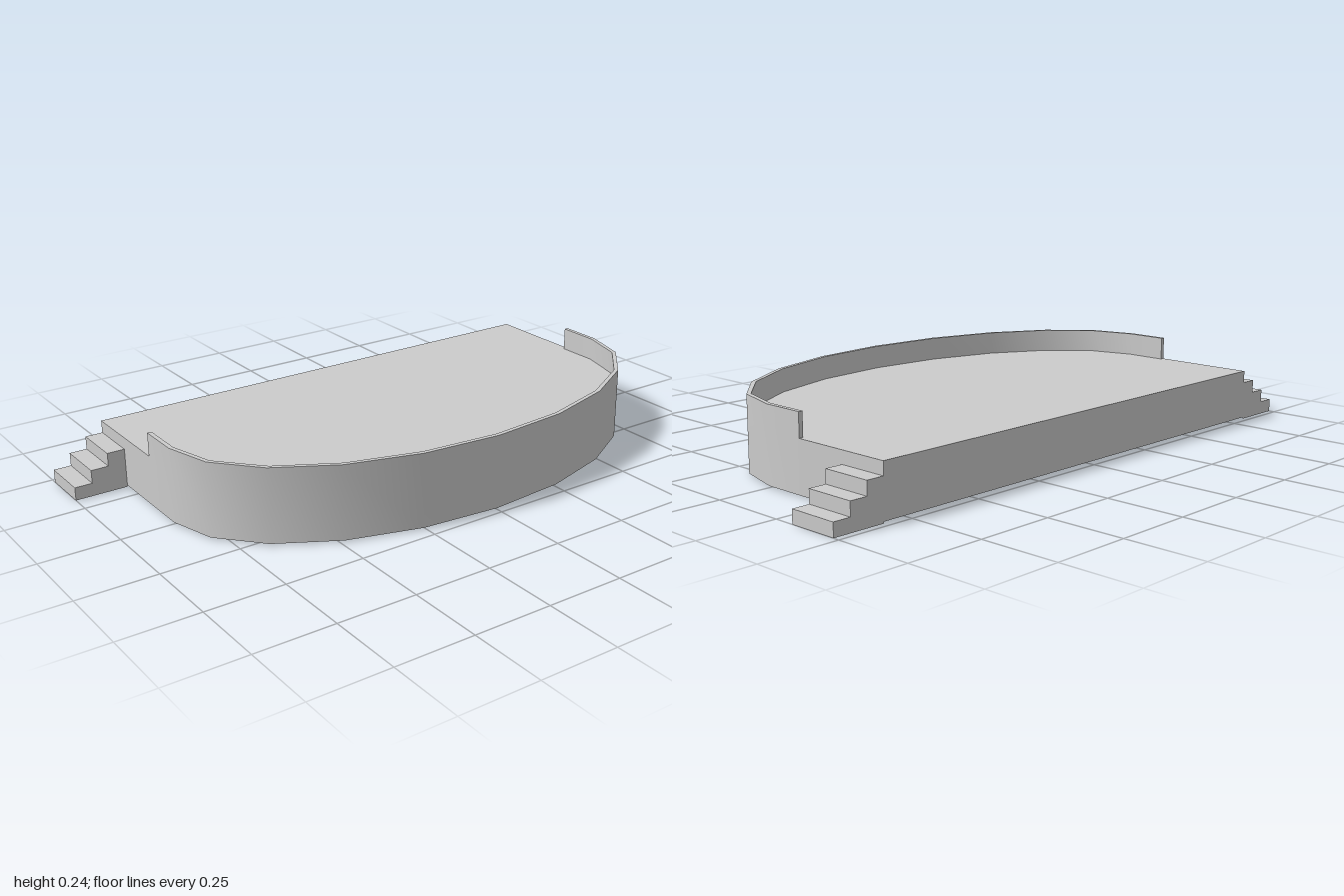
import * as THREE from 'three';
import { toCreasedNormals } from 'three/addons/utils/BufferGeometryUtils.js';

const A = 0.83, B = 0.48;          // half width and front depth of the stage
const BACK = -0.48, RIM_END = -0.14;
const BASE = 0.005, DECK = 0.167, RIM = 0.242, WALL = 0.014;

const solid = new THREE.MeshStandardMaterial({ color: 0xcccccc });
const sheet = new THREE.MeshStandardMaterial({ color: 0xcccccc, side: THREE.DoubleSide });

function part(name, geometry, material) {
  const mesh = new THREE.Mesh(geometry, material);
  mesh.name = name;
  return mesh;
}

// Half-ellipse in plan (x, z) with straight sides running back to zBack
function outline(a, b, zBack) {
  const pts = [new THREE.Vector2(a, zBack)];
  for (let i = 0; i <= 10; i++) {
    const t = (i * Math.PI) / 10;
    pts.push(new THREE.Vector2(a * Math.cos(t), b * Math.sin(t)));
  }
  pts.push(new THREE.Vector2(-a, zBack));
  return pts;
}

// Open folded sheet: a path swept along one offset
function foldedSheet(path, offset) {
  const o = new THREE.Vector3(...offset);
  const pts = [];
  for (let i = 0; i < path.length - 1; i++) {
    const a = new THREE.Vector3(...path[i]);
    const b = new THREE.Vector3(...path[i + 1]);
    const c = b.clone().add(o), d = a.clone().add(o);
    pts.push(a, b, c, a, c, d);
  }
  const geometry = new THREE.BufferGeometry().setFromPoints(pts);
  geometry.computeVertexNormals();
  return geometry;
}

// Three steps, open underneath
function createStairs(name) {
  const stairs = new THREE.Group();
  stairs.name = name;
  const run = (1 - A) / 3, rise = 0.0423, zFront = -0.317;
  const profile = [[A, 3 * rise]];
  for (let i = 0; i < 3; i++) {
    const x = A + (i + 1) * run;
    profile.push([x, (3 - i) * rise], [x, (2 - i) * rise]);
  }
  const path = profile.map(([x, y]) => [x, y, zFront]);
  stairs.add(part('treadsAndRisers', foldedSheet(path, [0, 0, BACK - zFront]), sheet));
  const sideShape = new THREE.Shape([[A, 0], ...profile].map(([x, y]) => new THREE.Vector2(x, y)));
  for (const [side, z] of [['stairFront', zFront], ['stairBack', BACK]]) {
    const geometry = new THREE.ShapeGeometry(sideShape);
    if (z === BACK) geometry.scale(1, 1, -1);
    stairs.add(part(side, geometry.translate(0, 0, z), sheet));
  }
  return stairs;
}

export function createModel() {
  const model = new THREE.Group();
  model.name = 'stage';

  // Curved front wall rising above the deck as a low parapet
  const ring = new THREE.Shape([
    ...outline(A, B, RIM_END),
    ...outline(A - WALL, B - WALL, RIM_END).reverse(),
  ]);
  const wall = new THREE.ExtrudeGeometry(ring, { depth: RIM - BASE, bevelEnabled: false });
  wall.rotateX(Math.PI / 2).translate(0, RIM, 0);
  model.add(part('curvedWall', toCreasedNormals(wall, 0.6), solid));

  // Deck, hollow below
  const deck = new THREE.ShapeGeometry(new THREE.Shape(outline(A, B, BACK)));
  deck.rotateX(-Math.PI / 2).scale(1, 1, -1);
  const index = deck.index.array;
  for (let i = 0; i < index.length; i += 3) [index[i], index[i + 2]] = [index[i + 2], index[i]];
  deck.translate(0, DECK, 0);
  model.add(part('deck', deck, sheet));

  // Thin back wall with its two short returns
  const backPath = [[A, BASE, RIM_END], [A, BASE, BACK], [-A, BASE, BACK], [-A, BASE, RIM_END]];
  model.add(part('backAndSideWalls', foldedSheet(backPath, [0, DECK - BASE, 0]), sheet));

  // Stairs on both sides
  const rightStairs = createStairs('rightStairs');
  rightStairs.scale.x = -1;
  model.add(createStairs('leftStairs'), rightStairs);

  return model;
}
